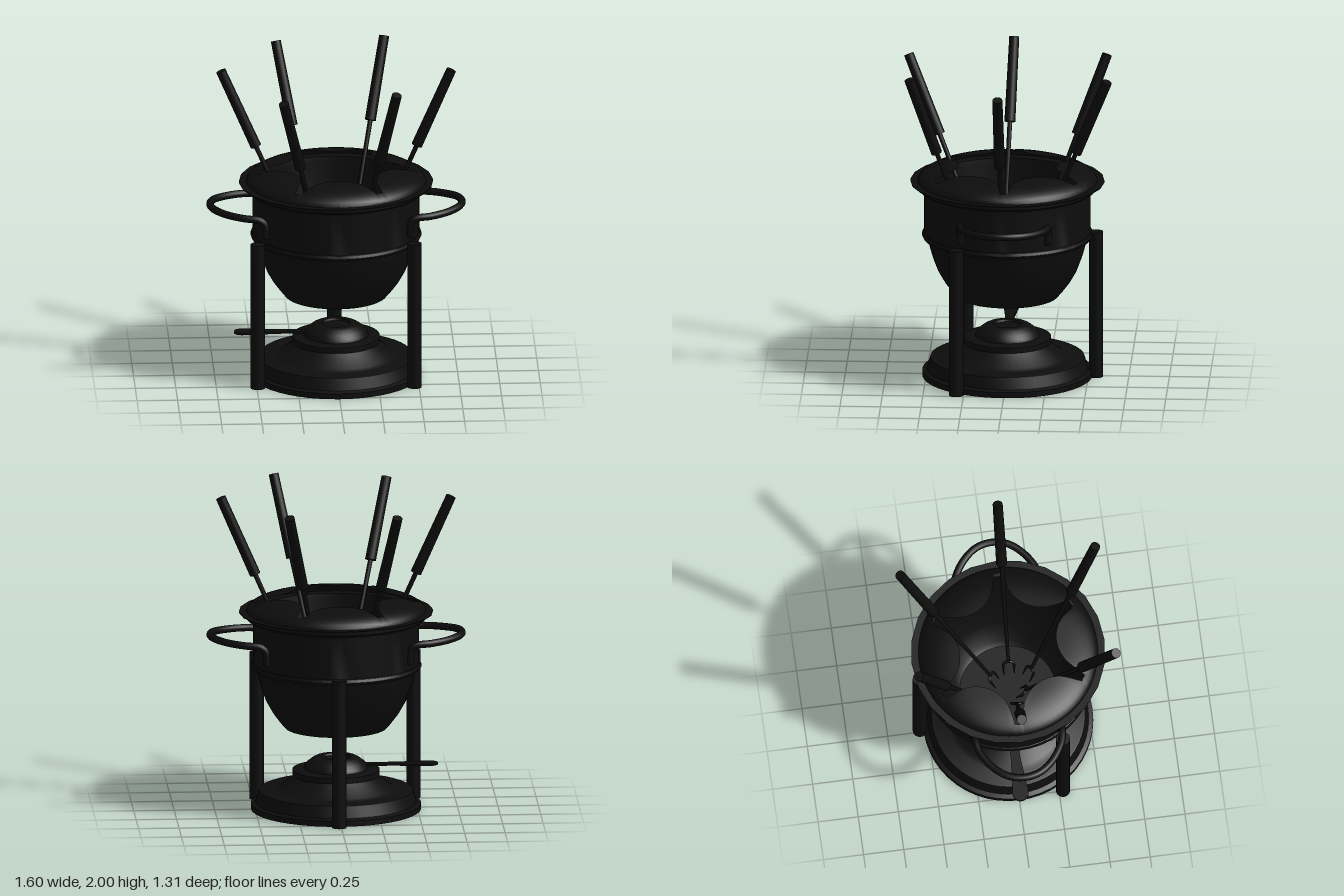
import * as THREE from 'three';
import { toCreasedNormals } from 'three/addons/utils/BufferGeometryUtils.js';

const V = (x, y, z) => new THREE.Vector3(x, y, z);

export function createModel() {
  const model = new THREE.Group();
  const black = new THREE.MeshStandardMaterial({ color: 0x0d0d0d, side: THREE.DoubleSide });

  const add = (name, geometry, parent = model) => {
    const mesh = new THREE.Mesh(geometry, black);
    mesh.name = name;
    parent.add(mesh);
    return mesh;
  };
  const lathe = (name, profile, segments = 48) => {
    const points = profile.map(([r, y]) => new THREE.Vector2(r, y));
    return add(name, toCreasedNormals(new THREE.LatheGeometry(points, segments), 0.6));
  };
  // Cylinder running between two points
  const rod = (name, a, b, ra, rb, parent, sides = 16) => {
    const mesh = add(name, new THREE.CylinderGeometry(rb, ra, a.distanceTo(b), sides), parent);
    mesh.position.copy(a).lerp(b, 0.5);
    mesh.quaternion.setFromUnitVectors(V(0, 1, 0), b.clone().sub(a).normalize());
    return mesh;
  };

  // Pot: outside wall up to the lip, then down the inside
  lathe('pot', [
    [0, 0.515], [0.315, 0.515], [0.345, 0.55], [0.39, 0.61], [0.43, 0.68], [0.46, 0.76],
    [0.48, 0.83], [0.49, 0.885], [0.52, 0.89], [0.528, 0.907], [0.52, 0.925], [0.514, 0.928],
    [0.514, 1.195], [0.545, 1.2], [0.56, 1.215], [0.56, 1.245], [0.5, 1.245],
    [0.495, 1.2], [0.49, 0.95], [0.46, 0.83], [0.41, 0.68], [0.33, 0.56], [0.3, 0.535], [0, 0.535],
  ]);

  // Thin flange around the rim
  lathe('rimFlange', [[0.54, 1.243], [0.6, 1.243], [0.6, 1.249], [0.54, 1.249]], 24);

  // Splash guard: shallow dome ring with six inward lobes, fork gaps between them
  const guard = new THREE.LatheGeometry(
    Array.from({ length: 9 }, (_, i) => new THREE.Vector2(1, i / 8)), 144);
  const domeHeight = r => 1.245 + 0.095 * Math.sqrt(Math.max(0, 1 - ((r - 0.28) / 0.275) ** 2));
  const p = guard.attributes.position;
  for (let i = 0; i < p.count; i++) {
    const angle = Math.atan2(p.getZ(i), p.getX(i));
    const sector = Math.PI / 3;
    const phi = angle - (Math.floor(angle / sector) + 0.5) * sector;
    const inside = 0.23 ** 2 - (0.53 * Math.sin(phi)) ** 2;
    const inner = inside > 0 ? Math.min(0.5, 0.53 * Math.cos(phi) - Math.sqrt(inside)) : 0.5;
    const t = p.getY(i);
    const r = THREE.MathUtils.lerp(inner, 0.555, 1 - (1 - t) ** 2);
    p.setXYZ(i, r * Math.cos(angle), domeHeight(r), r * Math.sin(angle));
  }
  guard.computeVertexNormals();
  add('splashGuard', guard);

  // Loop handles with ends turned down along the pot wall
  for (const side of [1, -1]) {
    const half = [[0.44, 0.965, 0.27], [0.45, 1.055, 0.27], [0.485, 1.083, 0.27],
      [0.57, 1.09, 0.255], [0.68, 1.096, 0.19], [0.755, 1.103, 0.1]];
    const points = [
      ...half.map(([x, y, z]) => V(side * x, y, z)),
      V(side * 0.778, 1.105, 0),
      ...half.slice().reverse().map(([x, y, z]) => V(side * x, y, -z)),
    ];
    add(side > 0 ? 'leftHandle' : 'rightHandle',
      new THREE.TubeGeometry(new THREE.CatmullRomCurve3(points), 56, 0.023, 12));
  }

  // Three stand legs and the ring that joins them under the pot rib
  const legs = new THREE.Group();
  legs.name = 'standLegs';
  model.add(legs);
  [[-0.495, 0.275], [0.472, 0.295], [0.013, -0.548]].forEach(([x, z]) =>
    rod('leg', V(x, 0, z), V(x, 0.93, z), 0.044, 0.044, legs, 20));
  const ring = add('standRing', new THREE.TorusGeometry(0.511, 0.014, 8, 48));
  ring.rotation.x = Math.PI / 2;
  ring.position.y = 0.905;

  // Hollow base tray
  lathe('base', [
    [0.49, 0.01], [0.49, 0], [0.525, 0], [0.525, 0.035], [0.497, 0.045], [0.475, 0.118], [0.465, 0.122],
    [0.38, 0.122], [0.35, 0.135], [0.25, 0.208], [0.235, 0.208], [0.34, 0.12], [0.45, 0.108], [0.49, 0.01],
  ]);

  // Burner: cup inside the base, collar and domed cap
  lathe('burner', [
    [0, 0.05], [0.2, 0.05], [0.235, 0.065], [0.25, 0.1], [0.25, 0.208], [0.27, 0.213], [0.27, 0.248],
    [0.255, 0.253], [0.2, 0.255], [0.195, 0.272], [0.175, 0.295], [0.145, 0.318], [0.125, 0.328],
    [0.09, 0.328], [0.085, 0.315], [0, 0.315],
  ]);

  // Flat burner lever widening to a rounded tip
  const lever = new THREE.Shape();
  lever.moveTo(-0.17, -0.025);
  lever.lineTo(-0.35, -0.03);
  lever.lineTo(-0.58, -0.05);
  lever.absarc(-0.58, 0, 0.05, -Math.PI / 2, Math.PI / 2, true);
  lever.lineTo(-0.35, 0.03);
  lever.lineTo(-0.17, 0.025);
  const leverMesh = add('burnerLever',
    new THREE.ExtrudeGeometry(lever, { depth: 0.012, bevelEnabled: false, curveSegments: 10 }));
  leverMesh.rotation.x = -Math.PI / 2;
  leverMesh.position.y = 0.27;

  // Six forks: handle top and tine end
  const forks = [
    [V(-0.345, 1.965, -0.6), V(-0.08, 0.57, -0.08)],
    [V(0.325, 1.98, -0.63), V(0.05, 0.57, -0.06)],
    [V(0.71, 1.965, 0.03), V(0.1, 0.57, 0.02)],
    [V(0.35, 1.985, 0.59), V(0.06, 0.57, 0.12)],
    [V(-0.35, 1.95, 0.625), V(-0.03, 0.57, 0.06)],
    [V(-0.71, 1.965, -0.01), V(-0.09, 0.57, 0.04)],
  ];
  for (const [top, tip] of forks) {
    const fork = new THREE.Group();
    fork.name = 'fork';
    fork.position.copy(tip);
    const axis = top.clone().sub(tip);
    const length = axis.length();
    const up = axis.normalize();
    const across = V(0, 1, 0).cross(up).normalize();
    fork.quaternion.setFromRotationMatrix(
      new THREE.Matrix4().makeBasis(across, up, across.clone().cross(up)));
    model.add(fork);
    rod('forkGrip', V(0, length - 0.53, 0), V(0, length, 0), 0.034, 0.031, fork);
    rod('forkShaft', V(0, 0.11, 0), V(0, length - 0.5, 0), 0.011, 0.015, fork, 10);
    const yoke = add('forkYoke', new THREE.TorusGeometry(0.033, 0.009, 8, 12, Math.PI), fork);
    yoke.position.y = 0.08;
    for (const s of [-1, 1]) rod('tine', V(s * 0.033, 0, 0), V(s * 0.033, 0.08, 0), 0.003, 0.009, fork, 8);
  }

  return model;
}
